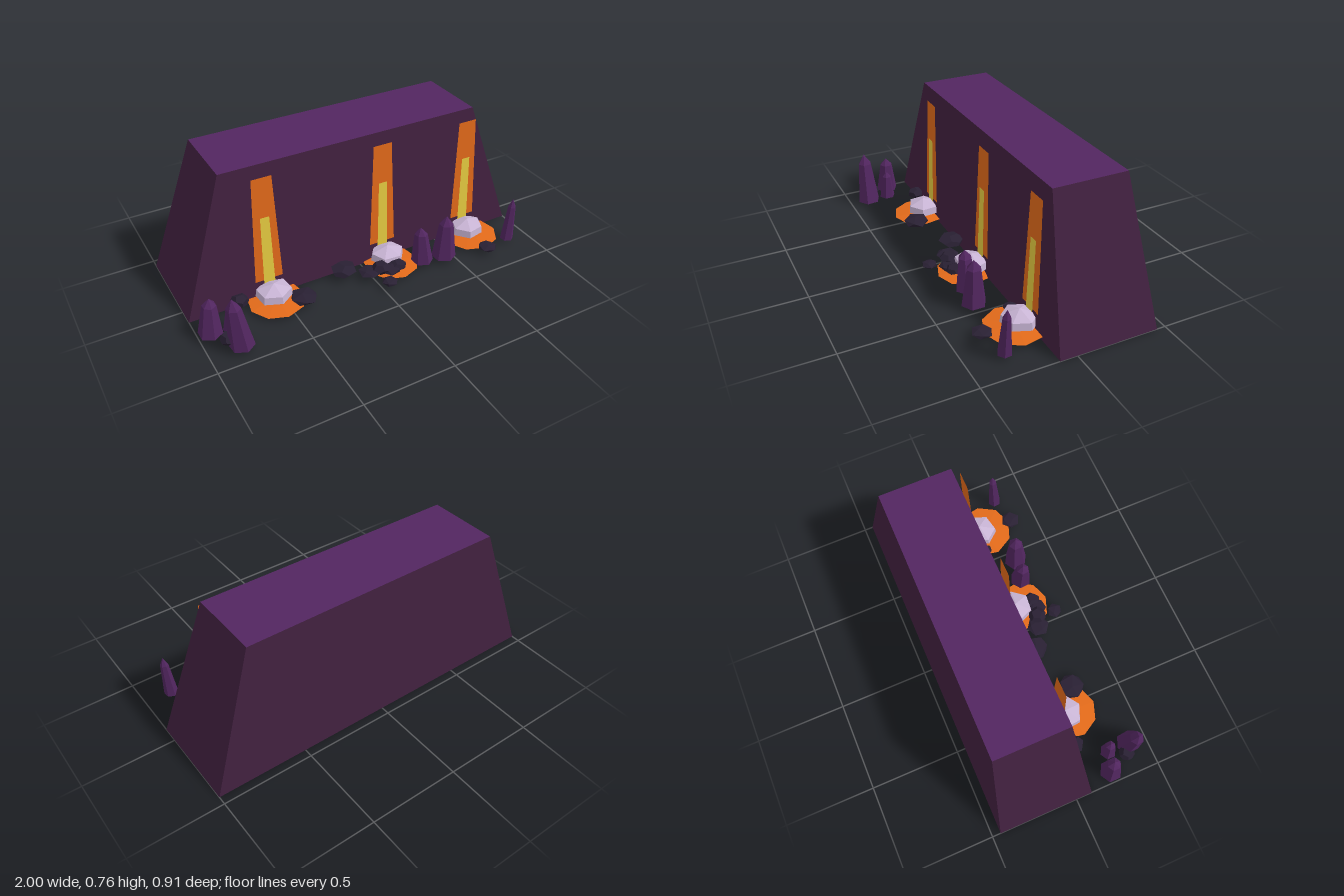
import * as THREE from 'three';

const mat = (name, color, side = THREE.FrontSide) => {
  const m = new THREE.MeshStandardMaterial({ color, side, flatShading: true });
  m.name = name;
  return m;
};

export function createModel() {
  const root = new THREE.Group();
  root.name = 'lavaCliff';
  const wallMat = mat('dark plum stone', 0x41203f, THREE.DoubleSide);
  const purple = mat('purple crystal', 0x522660, THREE.DoubleSide);
  const lava = mat('lava orange', 0xe26a1a, THREE.DoubleSide);
  const glow = mat('lava yellow', 0xe6cc40, THREE.DoubleSide);
  const pale = mat('pale lavender stone', 0xc8b4d4);
  const dark = mat('charcoal rock', 0x292033);

  const add = (name, geo, material, parent = root) => {
    const mesh = new THREE.Mesh(geo, material);
    mesh.name = name;
    parent.add(mesh);
    return mesh;
  };
  const lathe = (points, sides) =>
    new THREE.LatheGeometry(points.map(([a, b]) => new THREE.Vector2(a, b)), sides);

  // Cliff: a tapered shell with a lighter top face and an open underside
  const H = 0.763;
  const wall = new THREE.BoxGeometry(2, H, 0.545).translate(0, H / 2, -0.18);
  const p = wall.attributes.position;
  for (let i = 0; i < p.count; i++) {
    if (p.getY(i) < H / 2) continue;
    p.setX(i, p.getX(i) * 0.75);
    p.setZ(i, -0.18 + (p.getZ(i) + 0.18) * 0.75);
  }
  const faces = Array.from(wall.index.array);
  faces.splice(18, 6);
  wall.setIndex(faces);
  wall.clearGroups();
  wall.addGroup(0, 12, 0);
  wall.addGroup(12, 6, 1);
  wall.addGroup(18, 12, 0);
  wall.computeVertexNormals();
  add('cliff', wall, [wallMat, purple]);

  // Tapered strip that hangs almost upright before the sloped cliff face
  const strip = (x, y0, y1, w0, w1, lift) => {
    const g = new THREE.PlaneGeometry(1, 1);
    const a = g.attributes.position;
    for (let i = 0; i < a.count; i++) {
      const top = a.getY(i) > 0;
      const y = top ? y1 : y0;
      a.setXYZ(i, x + Math.sign(a.getX(i)) * (top ? w1 : w0), y, 0.086 - 0.026 * y + lift);
    }
    g.computeVertexNormals();
    return g;
  };

  // Lava falls, each with a pool and a pale stone: x, pool z, pool radius
  const falls = [[-0.545, 0.165, 0.155], [0.145, 0.182, 0.153], [0.69, 0.165, 0.165]];
  falls.forEach(([x, z, r], i) => {
    const fall = new THREE.Group();
    fall.name = 'lavaFall' + (i + 1);
    root.add(fall);
    add('stream', strip(x, 0.022, 0.71, 0.081, 0.055, 0), lava, fall);
    add('streamCore', strip(x, 0.06, 0.485, 0.032, 0.025, 0.005), glow, fall);

    // Pool: a very low dome that stops at the foot of the cliff
    const pool = new THREE.CylinderGeometry(r * 0.45, r, 0.009, 9);
    const a = pool.attributes.position;
    for (let k = 0; k < a.count; k++) a.setZ(k, Math.max(a.getZ(k), 0.09 - z));
    pool.computeVertexNormals();
    add('pool', pool, lava, fall).position.set(x, 0.0245, z);
    add('poolCore', new THREE.CylinderGeometry(0.015, 0.04, 0.006, 8), glow, fall)
      .position.set(x, 0.031, 0.18);

    const stone = add('paleStone',
      lathe([[0, 0.036], [0.102, 0.036], [0.096, 0.077], [0, 0.11]], 6), pale, fall);
    stone.position.set(x, 0, 0.14);
    stone.rotation.y = 0.1 + i * 0.3;
    stone.scale.set(0.98, 1, 0.92);
  });

  // Crystals: x, z, base radius, tip height, lean in x
  const crystals = [
    [-0.937, 0.237, 0.064, 0.232, 0.012], [-0.833, 0.392, 0.066, 0.318, -0.035],
    [-0.835, 0.27, 0.046, 0.19, 0.01], [0.31, 0.245, 0.062, 0.244, -0.022],
    [0.44, 0.268, 0.068, 0.279, 0.006], [0.857, 0.307, 0.038, 0.278, 0.02],
  ];
  crystals.forEach(([x, z, r, h, lean], i) => {
    const g = lathe([[0, 0], [r, 0], [r * 0.58, (h - 0.02) * 0.81], [0, h - 0.02]], 6);
    const a = g.attributes.position;
    for (let k = 0; k < a.count; k++) a.setX(k, a.getX(k) + lean * a.getY(k) / h);
    g.rotateY((i % 2) * 0.1);
    add('crystal' + (i + 1), g, purple).position.set(x, 0.02, z);
  });

  // Loose rocks: x, z, radius, top height
  const rocks = [
    [-0.73, 0.115, 0.05, 0.085], [-0.42, 0.237, 0.078, 0.066], [-0.13, 0.138, 0.077, 0.072],
    [-0.01, 0.215, 0.066, 0.055], [0.05, 0.235, 0.052, 0.088], [0.1, 0.25, 0.062, 0.06],
    [0.15, 0.245, 0.05, 0.07], [0.04, 0.343, 0.045, 0.055], [0.565, 0.125, 0.038, 0.045],
    [0.69, 0.343, 0.057, 0.055], [-0.885, 0.355, 0.045, 0.09],
  ];
  rocks.forEach(([x, z, r, top], i) => {
    const g = i % 2 ? new THREE.IcosahedronGeometry(1) : new THREE.DodecahedronGeometry(1);
    g.rotateX(i * 0.9).rotateY(i * 1.7);
    g.scale(r, (top - 0.02) / 2, r);
    g.computeVertexNormals();
    add('rock' + (i + 1), g, dark).position.set(x, (top + 0.02) / 2, z);
  });

  return root;
}
